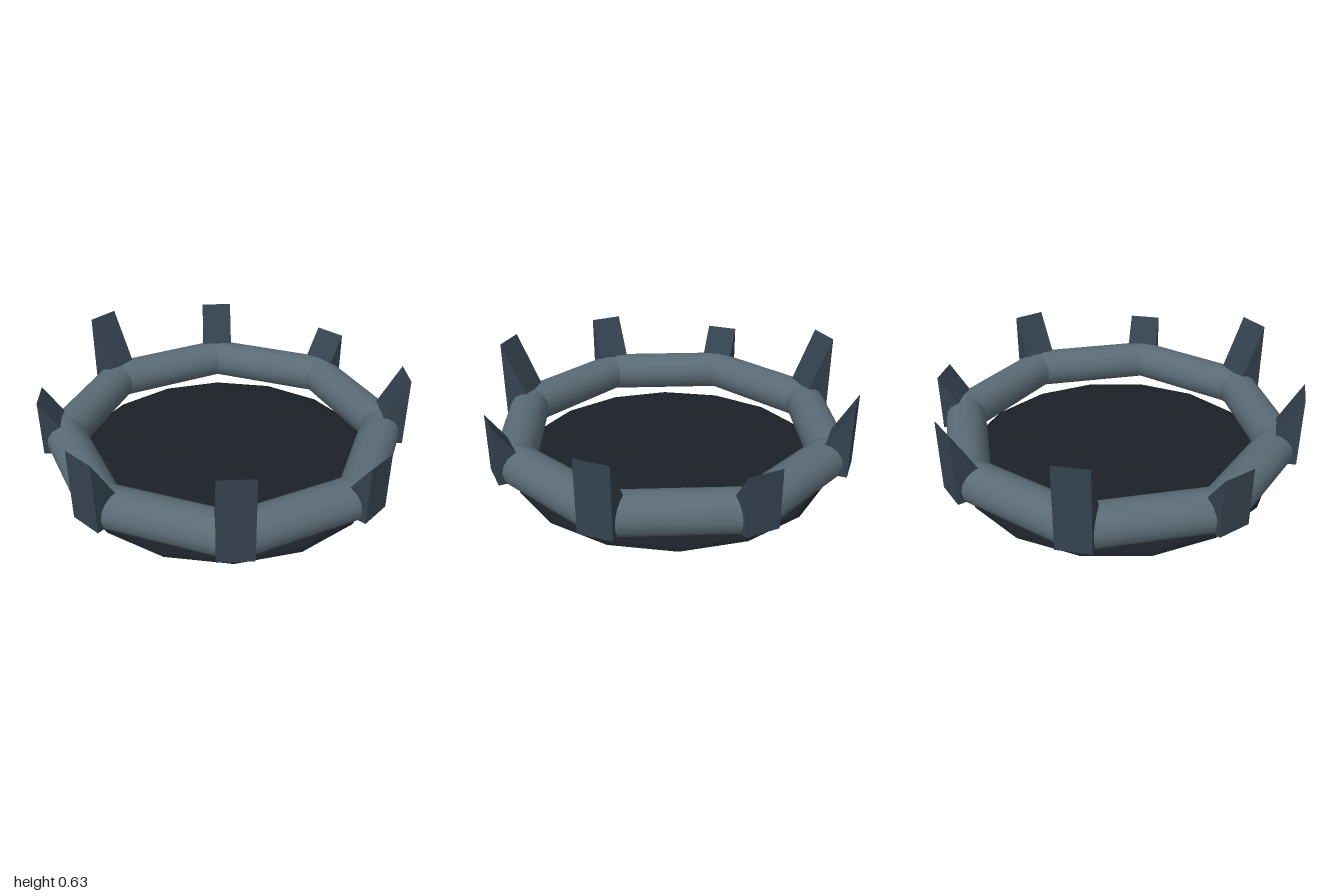
import * as THREE from 'three';

const COUNT = 8;
const RING_RADIUS = 0.892;
const TUBE_RADIUS = 0.111;
const RING_Y = 0.227;
const SPIKE_BASE_Y = 0.165;
const SPIKE_TOPS = [0.485, 0.56, 0.63];

// Upright wedge: vertical outer face at x = 1, sloping down towards the centre
function spikeGeometry(top) {
  const profile = new THREE.Shape([
    new THREE.Vector2(0.78, SPIKE_BASE_Y),
    new THREE.Vector2(1, SPIKE_BASE_Y),
    new THREE.Vector2(1, top),
  ]);
  const width = 0.18;
  const geometry = new THREE.ExtrudeGeometry(profile, { depth: width, bevelEnabled: false });
  return geometry.translate(0, 0, -width / 2);
}

export function createModel() {
  const model = new THREE.Group();
  const ringMaterial = new THREE.MeshStandardMaterial({ color: 0x5a6b76 });
  const spikeMaterial = new THREE.MeshStandardMaterial({ color: 0x34424f });
  const poolMaterial = new THREE.MeshStandardMaterial({ color: 0x1c2129 });

  // Flattened dark disc under the ring
  const disc = new THREE.Mesh(new THREE.SphereGeometry(1, 16, 12), poolMaterial);
  disc.name = 'baseDisc';
  disc.scale.set(0.88, 0.039, 0.88);
  disc.position.y = 0.039;
  model.add(disc);

  // Eight straight logs whose end centres meet at the ring corners
  const ring = new THREE.Group();
  ring.name = 'ring';
  const half = Math.PI / COUNT;
  const log = new THREE.CylinderGeometry(
    TUBE_RADIUS, TUBE_RADIUS, 2 * RING_RADIUS * Math.sin(half), 16
  );
  log.rotateX(Math.PI / 2).translate(RING_RADIUS * Math.cos(half), RING_Y, 0);

  // One spike over every corner, in three repeating heights
  const spikes = new THREE.Group();
  spikes.name = 'spikes';
  const spikeShapes = SPIKE_TOPS.map(spikeGeometry);

  for (let i = 0; i < COUNT; i++) {
    const angle = i * 2 * half;
    const segment = new THREE.Mesh(log, ringMaterial);
    segment.name = 'ringSegment';
    segment.rotation.y = angle + half;
    ring.add(segment);

    const spike = new THREE.Mesh(spikeShapes[i % 3], spikeMaterial);
    spike.name = 'spike';
    spike.rotation.y = angle;
    spikes.add(spike);
  }
  model.add(ring, spikes);
  return model;
}
